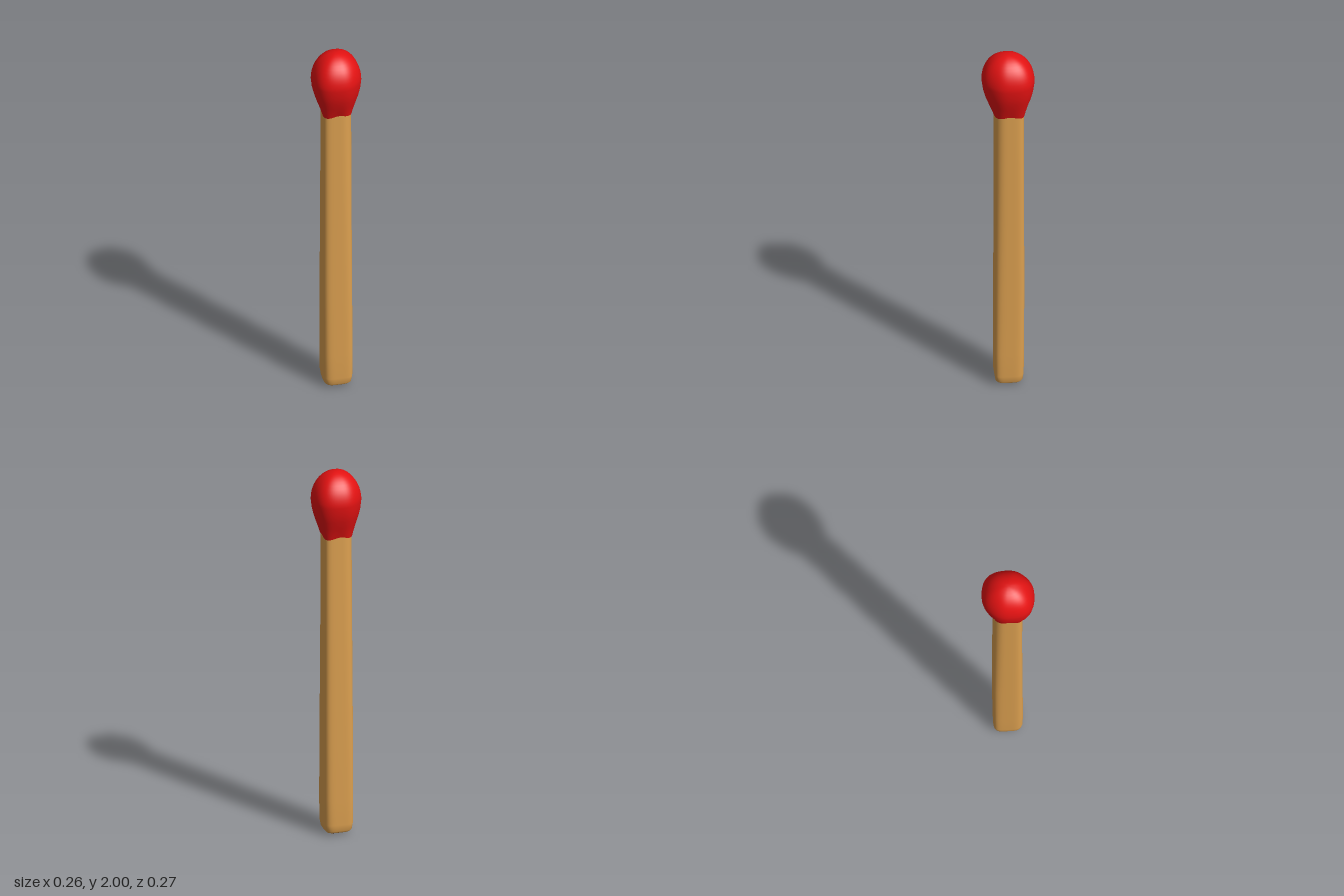
import * as THREE from 'three';

const SIDES = 64;

// Distance from the axis to a rounded square (superellipse) whose corners differ
// between the two diagonals: nA for (+x,-z)/(-x,+z), nB for the other pair.
function radius(t, hx, hz, nA, nB) {
  const k = 0.5 + 0.5 * Math.sin(2 * t);
  const n = nB + (nA - nB) * k;
  return Math.pow(Math.pow(Math.abs(Math.cos(t)) / hx, n) + Math.pow(Math.abs(Math.sin(t)) / hz, n), -1 / n);
}

// Skin a list of rings from bottom to top: [y, halfX, halfZ, nA, nB, centreZ, cornerDrop]
function loft(rings, { bottomY, topY }) {
  const pos = [], index = [];
  for (const [y, hx, hz, nA, nB, cz = 0, drop = 0] of rings) {
    for (let i = 0; i < SIDES; i++) {
      const t = (i / SIDES) * Math.PI * 2;
      const r = radius(t, hx, hz, nA, nB);
      pos.push(r * Math.cos(t), y - drop * (0.5 - 0.5 * Math.cos(4 * t)), cz - r * Math.sin(t));
    }
  }
  for (let j = 0; j < rings.length - 1; j++) {
    for (let i = 0; i < SIDES; i++) {
      const a = j * SIDES + i, b = j * SIDES + (i + 1) % SIDES;
      index.push(a, b, a + SIDES, b, b + SIDES, a + SIDES);
    }
  }
  // Closing fans
  if (bottomY !== undefined) {
    const c = pos.length / 3;
    pos.push(0, bottomY, rings[0][5] || 0);
    for (let i = 0; i < SIDES; i++) index.push(c, (i + 1) % SIDES, i);
  }
  if (topY !== undefined) {
    const c = pos.length / 3, o = (rings.length - 1) * SIDES;
    pos.push(0, topY, rings[rings.length - 1][5] || 0);
    for (let i = 0; i < SIDES; i++) index.push(c, o + i, o + (i + 1) % SIDES);
  }
  const g = new THREE.BufferGeometry();
  g.setAttribute('position', new THREE.Float32BufferAttribute(pos, 3));
  g.setIndex(index);
  g.computeVertexNormals();
  return g;
}

export function createModel() {
  const material = (name, color) => {
    const m = new THREE.MeshStandardMaterial({ color });
    m.name = name;
    return m;
  };
  const wood = material('wood', 0xdca050);
  const red = material('red', 0xe31212);
  const darkBrown = material('darkBrown', 0x6a280e);

  const model = new THREE.Group();
  model.name = 'matchstick';
  const add = (name, geometry, mat) => {
    const mesh = new THREE.Mesh(geometry, mat);
    mesh.name = name;
    model.add(mesh);
  };

  // Wooden stick, rounded square, softer on one diagonal towards the top
  add('stick', loft([
    [0.014, 0.062, 0.062, 4, 4.5, -0.002],
    [0.025, 0.071, 0.071, 4, 5, -0.002],
    [0.06, 0.076, 0.076, 4, 5.5, -0.002],
    [0.2, 0.077, 0.077, 4.4, 5.5, -0.002],
    [0.6, 0.077, 0.077, 5, 4.5, -0.004],
    [1.2, 0.076, 0.075, 5, 3.2, -0.004],
    [1.7, 0.075, 0.075, 5, 2.6, -0.003],
  ], {}), wood);

  // Slightly domed dark end under the stick
  add('stickEnd', loft([
    [0.006, 0.045, 0.045, 4, 4, -0.002],
    [0.014, 0.062, 0.062, 4, 4.5, -0.002],
  ], { bottomY: 0 }), darkBrown);

  // Lip that closes the underside of the head against the stick
  const lip = [1.662, 0.079, 0.08, 4.5, 2.7, -0.002, 0.012];
  add('headLip', loft([[1.668, 0.068, 0.068, 4.5, 2.6, -0.003, 0.01], lip], {}), red);

  // Bulb-shaped head, turning from square at the lip to round at the crown
  const head = [lip,
    [1.685, 0.087, 0.089, 3.8, 2.4, -0.001, 0.006],
    [1.72, 0.1, 0.103, 3.2, 2.2],
    [1.76, 0.113, 0.118, 2.9, 2.1],
    [1.8, 0.123, 0.129, 2.7, 2]];
  // Crown: quarter ellipse from the widest level to the tip
  for (let i = 0; i <= 11; i++) {
    const a = (i / 12) * Math.PI / 2;
    const c = Math.cos(a);
    head.push([1.845 + 0.155 * Math.sin(a), 0.128 * c, 0.135 * c, 2.65, 2]);
  }
  add('head', loft(head, { topY: 2 }), red);

  return model;
}
